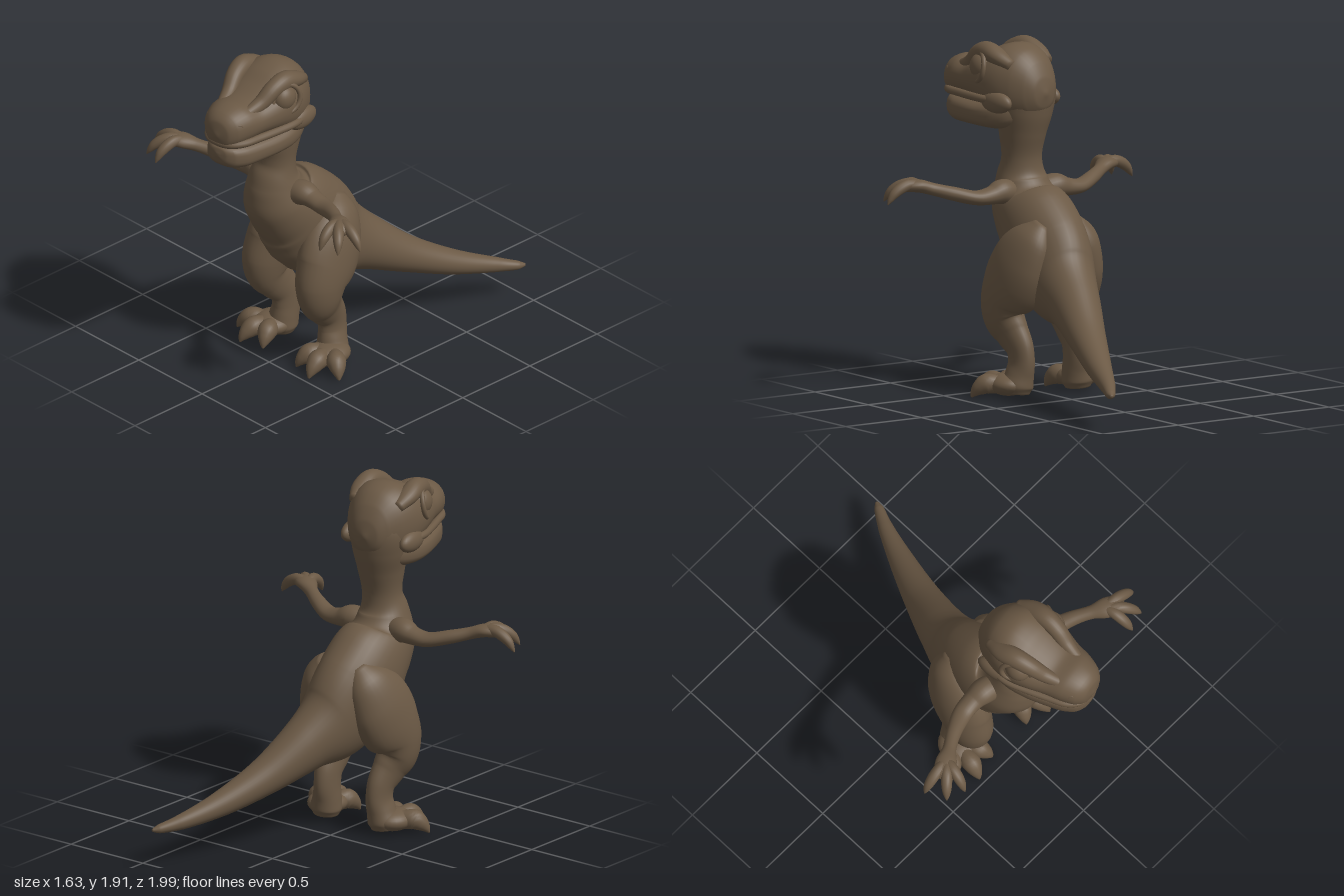
import * as THREE from 'three';

const hide = new THREE.MeshStandardMaterial({ color: 0x6b5945 });
hide.name = 'brownHide';

const X = new THREE.Vector3(1, 0, 0);
const Z = new THREE.Vector3(0, 0, 1);

// Smooth closed loft through rows of [x, y, z, halfWidth, halfDepth].
// side: axis along which halfWidth lies; axis: fixed section normal, otherwise the path tangent;
// power < 1 makes sections squarer; ripple(t, angle) adds folds.
function loft(name, rows, { side = X, axis, steps = 6, segs = 24, power = 1, ripple } = {}) {
  const path = new THREE.CatmullRomCurve3(rows.map(r => new THREE.Vector3(r[0], r[1], r[2])));
  const size = new THREE.CatmullRomCurve3(
    rows.map(r => new THREE.Vector3(r[3], r[4] ?? r[3], 0)), false, 'catmullrom', 0.5);
  const count = (rows.length - 1) * steps;
  const pos = [], index = [];
  const bend = v => Math.sign(v) * Math.abs(v) ** power;
  for (let i = 0; i <= count; i++) {
    const t = i / count;
    const c = path.getPoint(t), s = size.getPoint(t), T = axis ?? path.getTangent(t);
    const S = side.clone().addScaledVector(T, -side.dot(T)).normalize();
    const N = T.clone().cross(S);
    for (let j = 0; j < segs; j++) {
      const a = j / segs * Math.PI * 2;
      const k = ripple ? 1 + ripple(t, a) : 1;
      const p = c.clone()
        .addScaledVector(S, Math.max(s.x, 0.002) * bend(Math.cos(a)) * k)
        .addScaledVector(N, Math.max(s.y, 0.002) * bend(Math.sin(a)) * k);
      pos.push(p.x, p.y, p.z);
    }
  }
  for (let i = 0; i < count; i++) {
    for (let j = 0; j < segs; j++) {
      const a = i * segs + j, b = i * segs + (j + 1) % segs;
      index.push(a, b, a + segs, b, b + segs, a + segs);
    }
  }
  // End caps
  const first = pos.length / 3, last = first + 1, end = count * segs;
  pos.push(...path.getPoint(0).toArray(), ...path.getPoint(1).toArray());
  for (let j = 0; j < segs; j++) {
    const n = (j + 1) % segs;
    index.push(first, n, j, last, end + j, end + n);
  }
  const g = new THREE.BufferGeometry();
  g.setAttribute('position', new THREE.Float32BufferAttribute(pos, 3));
  g.setIndex(index);
  g.computeVertexNormals();
  return named(name, g);
}

function named(name, geometry) {
  const mesh = new THREE.Mesh(geometry, hide);
  mesh.name = name;
  return mesh;
}

function ball(name, x, y, z, sx, sy, sz) {
  const mesh = named(name, new THREE.SphereGeometry(1, 28, 20));
  mesh.position.set(x, y, z);
  mesh.scale.set(sx, sy, sz);
  return mesh;
}

function ring(name, x, y, z, radius, tube, facing) {
  const mesh = named(name, new THREE.TorusGeometry(radius, tube, 12, 28));
  mesh.position.set(x, y, z);
  mesh.quaternion.setFromUnitVectors(Z, new THREE.Vector3(...facing).normalize());
  return mesh;
}

// Nape, neck, torso and tail as one continuous skin
function makeBody() {
  return loft('body', [
    [0.0, 1.78, 0.44, 0.12, 0.11],
    [0.0, 1.67, 0.43, 0.165, 0.15],
    [0.005, 1.55, 0.44, 0.158, 0.152],
    [0.01, 1.42, 0.452, 0.13, 0.13],
    [0.01, 1.28, 0.46, 0.113, 0.106],
    [0.005, 1.165, 0.47, 0.14, 0.145],
    [0.0, 1.04, 0.44, 0.182, 0.20],
    [0.0, 0.915, 0.32, 0.206, 0.258],
    [0.005, 0.785, 0.21, 0.203, 0.28],
    [0.025, 0.65, 0.065, 0.182, 0.245],
    [0.068, 0.555, -0.115, 0.142, 0.163],
    [0.155, 0.415, -0.36, 0.105, 0.105],
    [0.26, 0.30, -0.62, 0.072, 0.07],
    [0.36, 0.232, -0.85, 0.042, 0.042],
    [0.42, 0.21, -0.96, 0.026, 0.024],
    [0.438, 0.207, -0.995, 0.008, 0.008],
  ], {
    segs: 36, steps: 10,
    // shallow skin folds across the neck front and belly
    ripple: (t, a) => t > 0.2 && t < 0.62
      ? 0.007 * Math.sin(t * 150) * Math.max(0, Math.sin(a)) ** 2 : 0,
  });
}

function makeHead() {
  const head = new THREE.Group();
  head.name = 'head';
  head.add(loft('skullAndSnout', [
    [0, 1.65, 0.268, 0.01, 0.01],
    [0, 1.655, 0.285, 0.075, 0.085],
    [0, 1.665, 0.325, 0.125, 0.155],
    [0, 1.68, 0.39, 0.172, 0.203],
    [0, 1.695, 0.48, 0.207, 0.215],
    [0, 1.705, 0.58, 0.218, 0.182],
    [0, 1.70, 0.67, 0.202, 0.138],
    [0, 1.69, 0.77, 0.17, 0.112],
    [0, 1.69, 0.87, 0.148, 0.117],
    [0, 1.68, 0.945, 0.118, 0.105],
    [0, 1.67, 0.985, 0.075, 0.075],
    [0, 1.665, 1.0, 0.01, 0.01],
  ], { axis: Z, power: 0.92, segs: 36, steps: 8 }));
  head.add(loft('lowerJaw', [
    [0, 1.54, 0.34, 0.09, 0.05],
    [0, 1.525, 0.43, 0.165, 0.08],
    [0, 1.515, 0.54, 0.198, 0.083],
    [0, 1.51, 0.66, 0.192, 0.078],
    [0, 1.51, 0.78, 0.166, 0.077],
    [0, 1.512, 0.88, 0.137, 0.076],
    [0, 1.52, 0.945, 0.10, 0.066],
    [0, 1.53, 0.975, 0.055, 0.045],
    [0, 1.535, 0.985, 0.01, 0.01],
  ], { axis: Z, power: 0.72, segs: 36 }));

  // Upper lip runs around the snout from cheek to cheek
  const half = [[0.19, 1.61, 0.44], [0.205, 1.612, 0.56], [0.183, 1.612, 0.68], [0.152, 1.612, 0.80],
    [0.122, 1.612, 0.90], [0.072, 1.61, 0.957]];
  const lip = [...half, [0, 1.608, 0.972], ...half.map(([x, y, z]) => [-x, y, z]).reverse()];
  const lipCurve = new THREE.CatmullRomCurve3(lip.map(p => new THREE.Vector3(...p)));
  head.add(named('upperLip', new THREE.TubeGeometry(lipCurve, 80, 0.022, 12)));

  for (const s of [1, -1]) {
    const label = s > 0 ? 'left' : 'right';
    head.add(
      ball(label + 'Eye', s * 0.162, 1.78, 0.605, 0.06, 0.075, 0.075),
      ring(label + 'Eyelid', s * 0.185, 1.78, 0.61, 0.082, 0.014, [s * 0.88, 0.15, 0.4]),
      ball(label + 'Cheek', s * 0.183, 1.60, 0.47, 0.045, 0.06, 0.11),
      ring(label + 'Nostril', s * 0.108, 1.715, 0.93, 0.018, 0.008, [s * 0.8, 0.1, 0.6]),
      loft(label + 'Brow', [
        [s * 0.135, 1.80, 0.40, 0.03, 0.03],
        [s * 0.145, 1.84, 0.49, 0.055, 0.045],
        [s * 0.142, 1.862, 0.58, 0.055, 0.055],
        [s * 0.13, 1.842, 0.66, 0.05, 0.05],
        [s * 0.108, 1.785, 0.74, 0.042, 0.042],
        [s * 0.085, 1.755, 0.83, 0.032, 0.032],
        [s * 0.07, 1.74, 0.90, 0.02, 0.02],
      ]));
  }
  // The head looks slightly to its left
  head.rotation.y = 0.155;
  head.position.x = -0.06;
  return head;
}

function makeLeg(s) {
  const leg = new THREE.Group();
  leg.name = s > 0 ? 'leftLeg' : 'rightLeg';
  leg.position.x = s > 0 ? 0.015 : 0;
  leg.add(loft('thighAndShin', [
    [s * 0.10, 0.97, 0.11, 0.04, 0.05],
    [s * 0.14, 0.88, 0.145, 0.10, 0.14],
    [s * 0.17, 0.76, 0.205, 0.126, 0.195],
    [s * 0.19, 0.63, 0.265, 0.13, 0.20],
    [s * 0.203, 0.52, 0.32, 0.12, 0.16],
    [s * 0.203, 0.43, 0.318, 0.105, 0.133],
    [s * 0.188, 0.36, 0.275, 0.08, 0.112],
    [s * 0.176, 0.28, 0.22, 0.065, 0.094],
    [s * 0.174, 0.20, 0.207, 0.063, 0.09],
    [s * 0.182, 0.13, 0.215, 0.075, 0.088],
    [s * 0.192, 0.07, 0.222, 0.086, 0.09],
    [s * 0.195, 0.03, 0.222, 0.07, 0.07],
  ], { segs: 28 }));
  leg.add(ball('footPad', s * 0.22, 0.078, 0.27, 0.108, 0.062, 0.12));
  // Toes: root, raised knuckle, claw tip
  for (const [x, z] of [[0.125, 0.43], [0.265, 0.47], [0.395, 0.365]]) {
    const at = (k, y, a, b) => [s * (0.215 + (x - 0.215) * k), y, 0.25 + (z - 0.25) * k, a, b];
    leg.add(loft('toe', [
      at(0, 0.085, 0.05, 0.05), at(0.35, 0.08, 0.048, 0.052),
      at(0.62, 0.082, 0.054, 0.056), at(0.8, 0.06, 0.042, 0.044),
      at(0.92, 0.035, 0.024, 0.026), at(1, 0.01, 0.005, 0.005),
    ], { segs: 16 }));
  }
  return leg;
}

function makeArm(s) {
  const arm = new THREE.Group();
  arm.name = s > 0 ? 'leftArm' : 'rightArm';
  arm.add(loft('armAndPalm', [
    [s * 0.09, 1.09, 0.43, 0.07, 0.07],
    [s * 0.18, 1.11, 0.41, 0.072, 0.068],
    [s * 0.25, 1.098, 0.405, 0.058, 0.05],
    [s * 0.34, 1.092, 0.415, 0.054, 0.04],
    [s * 0.46, 1.12, 0.465, 0.042, 0.038],
    [s * 0.55, 1.145, 0.52, 0.038, 0.034],
    [s * 0.62, 1.165, 0.565, 0.058, 0.036],
    [s * 0.68, 1.165, 0.60, 0.05, 0.032],
    [s * 0.71, 1.155, 0.615, 0.015, 0.012],
  ], { side: Z }));
  // Three arched fingers ending in claws
  for (const [x, z] of [[0.81, 0.585], [0.755, 0.70], [0.65, 0.735]]) {
    const at = (k, y, r) => [s * (0.615 + (x - 0.615) * k), y, 0.56 + (z - 0.56) * k, r];
    const side = Math.abs(x - 0.615) > Math.abs(z - 0.56) ? Z : X;
    arm.add(loft('finger', [
      at(0, 1.165, 0.03), at(0.35, 1.175, 0.031), at(0.6, 1.158, 0.031),
      at(0.8, 1.13, 0.026), at(0.92, 1.1, 0.016), at(1, 1.075, 0.003),
    ], { side, segs: 14 }));
  }
  return arm;
}

export function createModel() {
  const model = new THREE.Group();
  model.name = 'dinosaur';
  model.add(makeBody(), makeHead());
  for (const s of [1, -1]) model.add(makeLeg(s), makeArm(s));
  return model;
}
